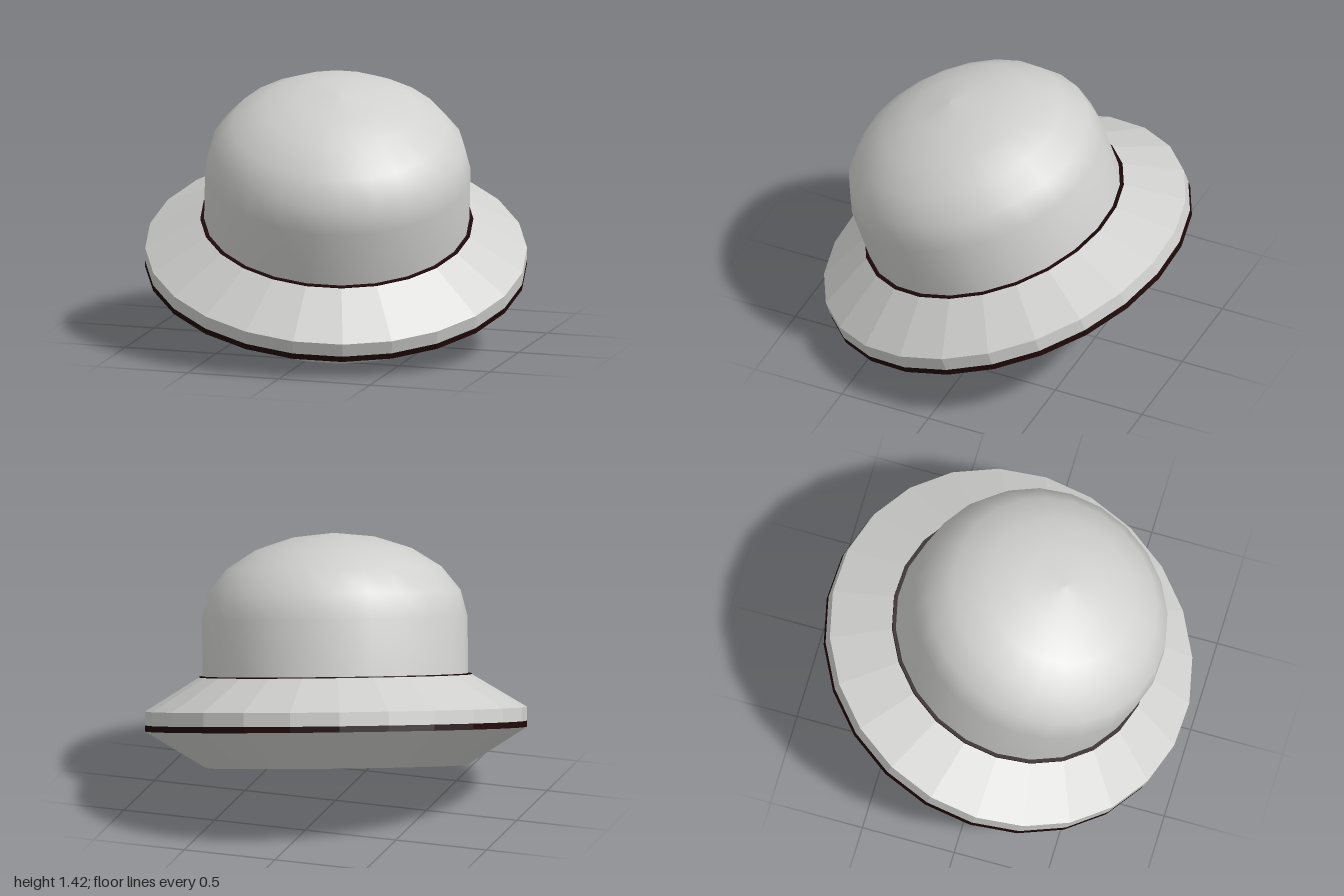
import * as THREE from 'three';

const SIDES = 24;
const PHASE = THREE.MathUtils.degToRad(4.7);

// Revolve a [radius, height] profile listed from bottom to top.
function revolve(profile, faceted) {
  const points = profile.map(([r, y]) => new THREE.Vector2(r, y));
  const smooth = new THREE.LatheGeometry(points, SIDES, PHASE, Math.PI * 2);
  if (!faceted) return smooth;
  const flat = smooth.toNonIndexed();
  flat.computeVertexNormals();
  return flat;
}

export function createModel() {
  const hullGrey = new THREE.MeshStandardMaterial({ color: 0xd0d0ce });
  hullGrey.name = 'hullGrey';
  const trimDark = new THREE.MeshStandardMaterial({ color: 0x1e0808 });
  trimDark.name = 'trimDark';

  const model = new THREE.Group();
  model.name = 'saucer';
  const body = new THREE.Group();
  body.name = 'tiltedBody';
  model.add(body);

  function add(name, profile, material, faceted = true) {
    const mesh = new THREE.Mesh(revolve(profile, faceted), material);
    mesh.name = name;
    body.add(mesh);
  }

  // Faceted disc: flat base and sloping underside, then rim and sloping top
  add('underside', [[0, 0], [0.685, 0], [1, 0.195]], hullGrey);
  add('rimStripe', [[1, 0.195], [1, 0.227]], trimDark);
  add('upperDisc', [[1, 0.227], [1, 0.3], [0.715, 0.474]], hullGrey);

  // Thin dark ring around the foot of the dome
  add('domeRing', [[0.715, 0.474], [0.715, 0.48], [0.693, 0.48]], trimDark);

  // Smooth dome: straight wall with a flattened cap
  const dome = [[0.695, 0.47]];
  for (let i = 0; i <= 5; i++) {
    const a = (i / 5) * Math.PI / 2;
    dome.push([i === 5 ? 0 : 0.695 * Math.cos(a), 0.78 + 0.443 * Math.sin(a)]);
  }
  add('dome', dome, hullGrey, false);

  // Lean the whole body forward and a little to its left
  const axis = new THREE.Vector3(0.111, 0.95, 0.291).normalize();
  body.quaternion.setFromUnitVectors(new THREE.Vector3(0, 1, 0), axis);
  body.position.set(-0.028, 0.214, -0.067);
  return model;
}
